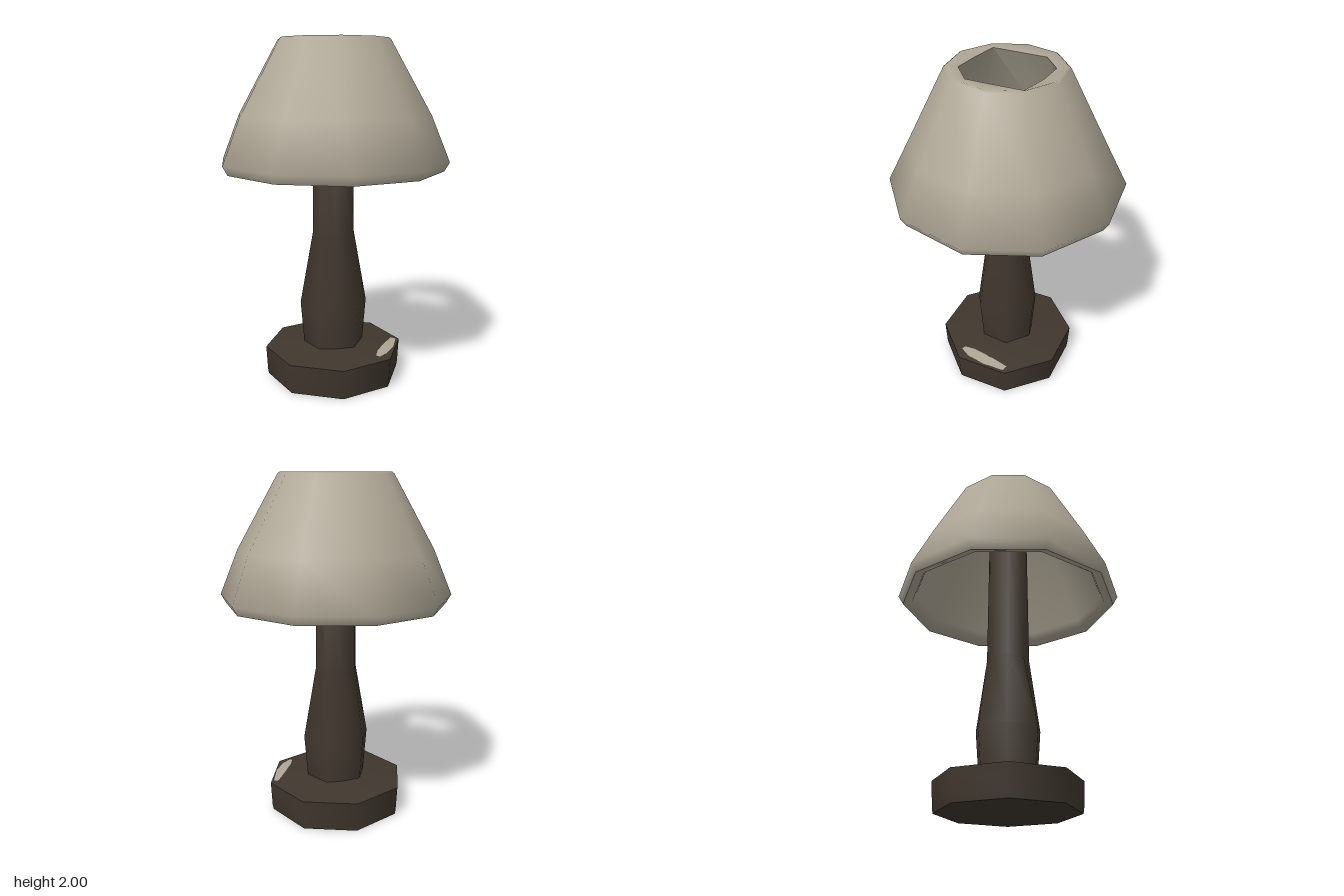
import * as THREE from 'three';
import { mergeVertices, toCreasedNormals } from 'three/addons/utils/BufferGeometryUtils.js';

const cream = new THREE.MeshStandardMaterial({ color: 0xaea695 });
const brown = new THREE.MeshStandardMaterial({ color: 0x40372e });
cream.name = 'creamCloth';
brown.name = 'darkWood';
cream.side = brown.side = THREE.DoubleSide;

// Few-sided turned shape; adjust() may move each vertex before normals are made
function turned(name, profile, sides, material, crease, adjust) {
  let geo = new THREE.LatheGeometry(profile.map(([r, y]) => new THREE.Vector2(r, y)), sides);
  const pos = geo.attributes.position;
  const v = new THREE.Vector3();
  for (let i = 0; i < pos.count; i++) {
    v.fromBufferAttribute(pos, i);
    if (adjust) adjust(v, Math.floor(i / profile.length) % sides, i % profile.length);
    pos.setXYZ(i, v.x, v.y, v.z);
  }
  geo.deleteAttribute('uv');
  geo.deleteAttribute('normal');
  geo = toCreasedNormals(mergeVertices(geo, 1e-4), crease);
  const mesh = new THREE.Mesh(geo, material);
  mesh.name = name;
  return mesh;
}

// Thin patch from a strip of paired points
function strip(name, pairs, material) {
  const points = [];
  const index = [];
  pairs.forEach(([a, b], i) => {
    points.push(...a, ...b);
    if (i) index.push(2 * i - 2, 2 * i - 1, 2 * i, 2 * i, 2 * i - 1, 2 * i + 1);
  });
  const geo = new THREE.BufferGeometry();
  geo.setAttribute('position', new THREE.Float32BufferAttribute(points, 3));
  geo.setIndex(index);
  geo.computeVertexNormals();
  const mesh = new THREE.Mesh(geo, material);
  mesh.name = name;
  return mesh;
}

export function createModel() {
  const lamp = new THREE.Group();
  lamp.name = 'tableLamp';

  // Base disc with a gently rising top
  lamp.add(turned('base', [[0, 0], [0.4, 0], [0.405, 0.03], [0.413, 0.175], [0.2, 0.2], [0, 0.205]],
    8, brown, 1.0));

  // Stem: bulging foot, flattened front and back, and a narrow neck
  lamp.add(turned('stem', [[0.178, 0.18], [0.2, 0.45], [0.123, 0.88], [0.118, 1.64], [0.11, 1.65]],
    8, brown, 1.4, (v, side) => {
      if (v.y > 0.6) return;
      if (side % 2) {
        v.x *= 0.82;
        v.z *= 1.15;
      } else v.z *= 0.9;
    }));

  // Pale cap on the stem
  lamp.add(turned('bulb', [[0.112, 1.648], [0.075, 1.675], [0, 1.685]], 8, cream, 1.2));

  // Thick cloth shade, open at both ends, with an uneven upper hole
  const hole = [0.25, 0.25, 0.215, 0.285, 0.23, 0.25, 0.25, 0.215, 0.285, 0.22];
  const shadeProfile = [
    [0.565, 1.32], [0.585, 1.275], [0.64, 1.258], [0.67, 1.31], [0.565, 1.57], [0.325, 1.99],
    [0.312, 2], [0.27, 1.988], [0.48, 1.55], [0.565, 1.32],
  ];
  lamp.add(turned('shade', shadeProfile, 10, cream, 1.2, (v, side, ring) => {
    if (ring === 4) v.z *= 0.95;
    if (ring !== 7) return;
    const k = hole[side] / Math.hypot(v.x, v.z);
    v.x *= k;
    v.z *= k;
  }));

  // Dark streak inside the shade, just clear of the lining
  const inside = (angle, y) => {
    const r = (y > 1.55 ? 0.48 - (y - 1.55) * 0.56 : 0.565 - (y - 1.32) * 0.37) * 0.94;
    return [r * Math.cos(angle), y, r * Math.sin(angle)];
  };
  lamp.add(strip('liningStreak', [[1.41, 2.7, 2.8], [1.45, 2.62, 2.82], [1.5, 2.5, 2.8],
    [1.6, 2.4, 2.8], [1.75, 2.3, 2.78]]
    .map(([y, from, to]) => [inside(from, y), inside(to, y)]), brown));

  // Pale worn mark on the base top
  const mark = [[0.22, 0.27, 0.012], [0.26, 0.215, 0.032], [0.32, 0.12, 0.035], [0.38, 0, 0.018]];
  const topY = (x, z) => 0.2 - Math.max(0, Math.hypot(x, z) - 0.19) * 0.11 + 0.006;
  lamp.add(strip('wornMark', mark.map(([x, z, w]) => [-1, 1].map((s) => {
    const px = x + s * w * 0.8;
    const pz = z + s * w * 0.6;
    return [px, topY(px, pz), pz];
  })), cream));

  return lamp;
}
